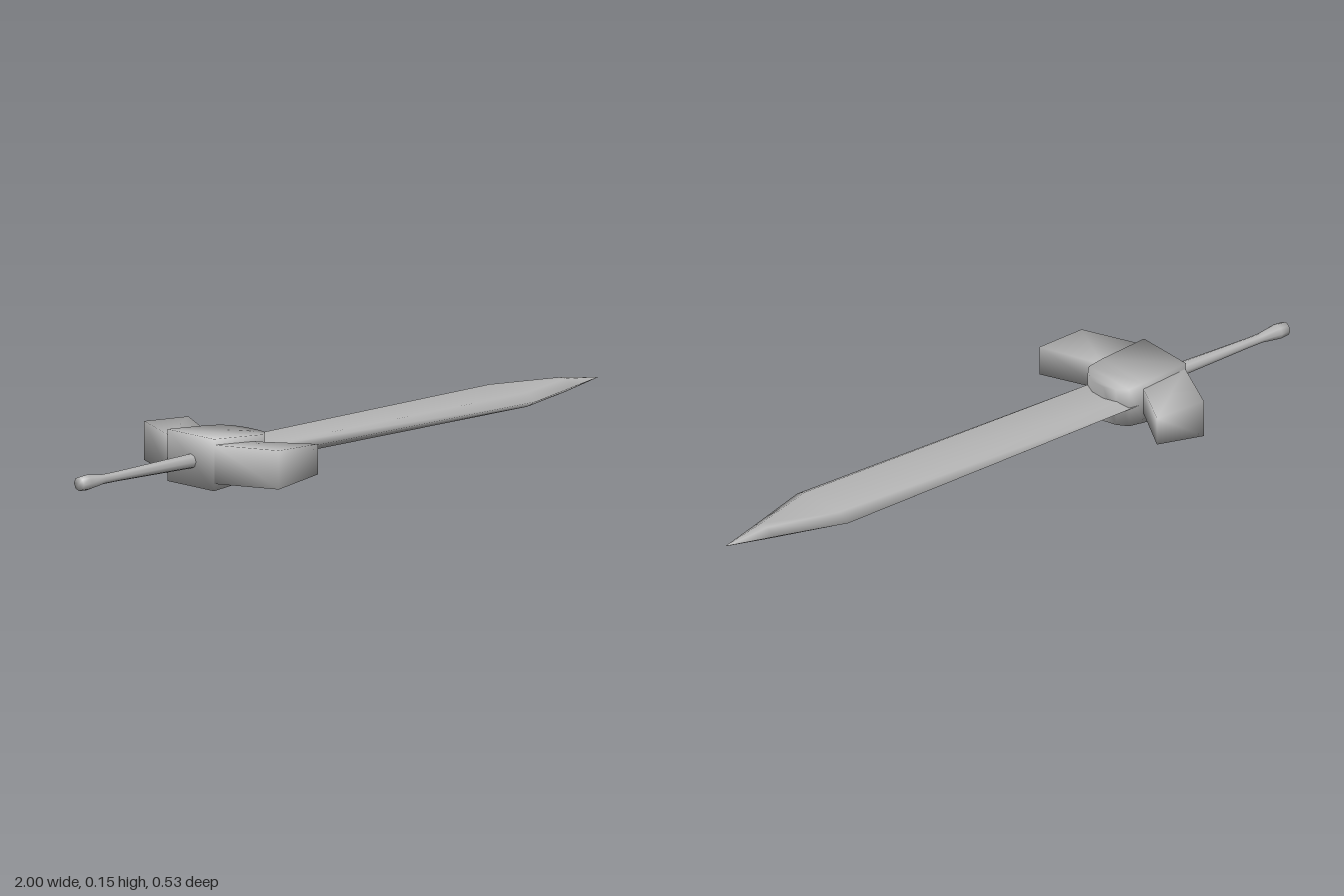
import * as THREE from 'three';

// Skin a list of equal-length rings, close both ends, shade smoothly
function loft(rings) {
  const n = rings[0].length, index = [];
  for (let i = 0; i < rings.length - 1; i++) {
    for (let j = 0; j < n; j++) {
      const k = (j + 1) % n, a = i * n + j, b = i * n + k;
      index.push(a, b, b + n, a, b + n, a + n);
    }
  }
  const last = (rings.length - 1) * n;
  for (let j = 1; j < n - 1; j++) {
    index.push(0, j + 1, j, last, last + j, last + j + 1);
  }
  const g = new THREE.BufferGeometry();
  g.setAttribute('position', new THREE.Float32BufferAttribute(rings.flat(2), 3));
  g.setIndex(index);
  g.computeVertexNormals();
  return g;
}

export function createModel() {
  const sword = new THREE.Group();
  sword.name = 'sword';
  const steel = new THREE.MeshStandardMaterial({ color: 0xb6b6b6 });
  steel.name = 'grey steel';
  const midY = 0.071;

  const add = (name, geometry) => {
    const mesh = new THREE.Mesh(geometry, steel);
    mesh.name = name;
    sword.add(mesh);
    return mesh;
  };

  // Blade: six-sided section [x, half width, half flat, half thickness]
  const blade = [
    [-0.45, 0.09, 0.062, 0.02],
    [0.65, 0.111, 0.075, 0.02],
    [0.86, 0.043, 0.014, 0.018],
    [0.995, 0.001, 0.0005, 0.0005],
  ].map(([x, w, f, h]) => [
    [x, midY + h, -f], [x, midY + h, f], [x, midY, w],
    [x, midY - h, f], [x, midY - h, -f], [x, midY, -w],
  ]);
  add('blade', loft(blade));

  // Guard block: tapers and rounds off towards the blade [x, half width, bottom, top]
  const block = [
    [-0.57, 0.092, 0, 0.147],
    [-0.42, 0.092, 0.012, 0.135],
    [-0.37, 0.088, 0.016, 0.13],
    [-0.345, 0.062, 0.018, 0.128],
    [-0.33, 0.025, 0.02, 0.126],
  ].map(([x, w, y0, y1]) => [[x, y1, -w], [x, y1, w], [x, y0, w], [x, y0, -w]]);
  add('guardBlock', loft(block));

  // Swept guard wings: ring at depth z, back edge taller than front edge
  const wingRing = (zBack, zFront, back, front, top) => [
    [back, 0.02, zBack], [front, 0.04, zFront], [front, top, zFront], [back, 0.13, zBack],
  ];
  const frontWing = [
    wingRing(0.05, 0.05, -0.568, -0.44, 0.116),
    wingRing(0.09, 0.09, -0.568, -0.42, 0.118),
    wingRing(0.267, 0.267, -0.49, -0.34, 0.126),
  ];
  const backWing = [
    wingRing(-0.268, -0.253, -0.49, -0.335, 0.122),
    wingRing(-0.09, -0.09, -0.568, -0.42, 0.118),
    wingRing(-0.05, -0.05, -0.568, -0.44, 0.116),
  ];
  add('frontGuardWing', loft(frontWing));
  add('backGuardWing', loft(backWing));

  // Round handle swelling into a small pommel
  const profile = [
    [0, -1], [0.02, -1], [0.022, -0.97], [0.014, -0.91],
    [0.014, -0.86], [0.021, -0.56],
  ].map(([r, x]) => new THREE.Vector2(r, x));
  const handle = new THREE.LatheGeometry(profile, 8);
  handle.rotateZ(-Math.PI / 2);
  add('handle', handle).position.y = midY;

  return sword;
}
